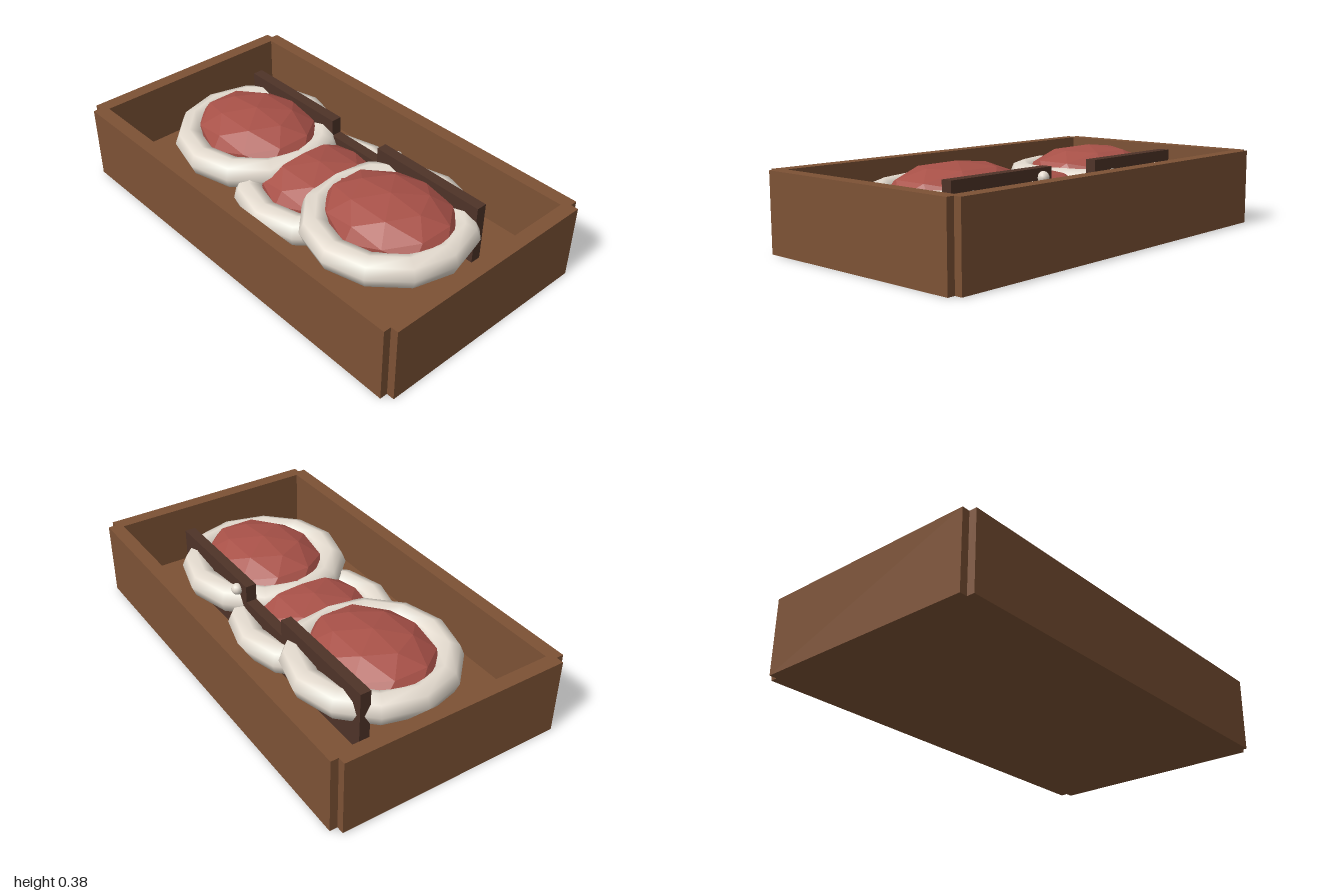
import * as THREE from 'three';

export function createModel() {
  const group = new THREE.Group();
  const mat = (name, color) => {
    const m = new THREE.MeshStandardMaterial({ color });
    m.name = name;
    return m;
  };
  const wood = mat('wood brown', 0x7d5235);
  const darkWood = mat('dark wood', 0x4e3328);
  const red = mat('cushion red', 0xa85148);
  const cream = mat('cream', 0xe4dbcf);

  const add = (name, geometry, material, x, y, z) => {
    const mesh = new THREE.Mesh(geometry, material);
    mesh.name = name;
    mesh.position.set(x, y, z);
    group.add(mesh);
    return mesh;
  };
  const box = (name, material, x0, x1, y0, y1, z0, z1) =>
    add(name, new THREE.BoxGeometry(x1 - x0, y1 - y0, z1 - z0), material,
      (x0 + x1) / 2, (y0 + y1) / 2, (z0 + z1) / 2);

  // Open tray: floor and four walls, leaving small notches at the corners
  const H = 0.352, T = 0.065;
  box('trayFloor', wood, -0.965, 0.965, 0, T, -0.525, 0.525);
  box('frontWall', wood, -0.965, 0.965, 0, H, 0.56 - T, 0.56);
  box('backWall', wood, -0.965, 0.965, 0, H, -0.56, -0.56 + T);
  box('leftWall', wood, 1 - T, 1, 0, H, -0.525, 0.525);
  box('rightWall', wood, -1, -1 + T, 0, H, -0.525, 0.525);

  // Faceted cushions, each in a padded ring; the middle one sits lower
  const cushion = (name, x, y, ry, ringY) => {
    const geo = new THREE.IcosahedronGeometry(1, 1);
    geo.scale(0.325, ry, 0.262);
    geo.computeVertexNormals();
    add(name + 'Cushion', geo, red, x, y, 0);
    const ring = new THREE.TorusGeometry(0.32, 0.07, 8, 12);
    ring.rotateX(Math.PI / 2);
    add(name + 'Ring', ring, cream, x, ringY, 0);
  };
  cushion('right', -0.44, 0.259, 0.126, 0.235);
  cushion('middle', 0, 0.195, 0.115, 0.17);
  cushion('left', 0.44, 0.259, 0.126, 0.235);

  // Divider board with a dropped centre
  const z0 = -0.265, z1 = -0.215, top = 0.355;
  box('dividerRight', darkWood, -0.73, -0.15, T, top, z0, z1);
  box('dividerMiddle', darkWood, -0.15, 0.145, T, 0.275, z0, z1);
  box('dividerLeft', darkWood, 0.145, 0.73, T, top, z0, z1);

  // Small knob on the back of the divider
  add('knob', new THREE.SphereGeometry(0.027, 12, 8), cream, 0.21, 0.315, -0.275);

  return group;
}
